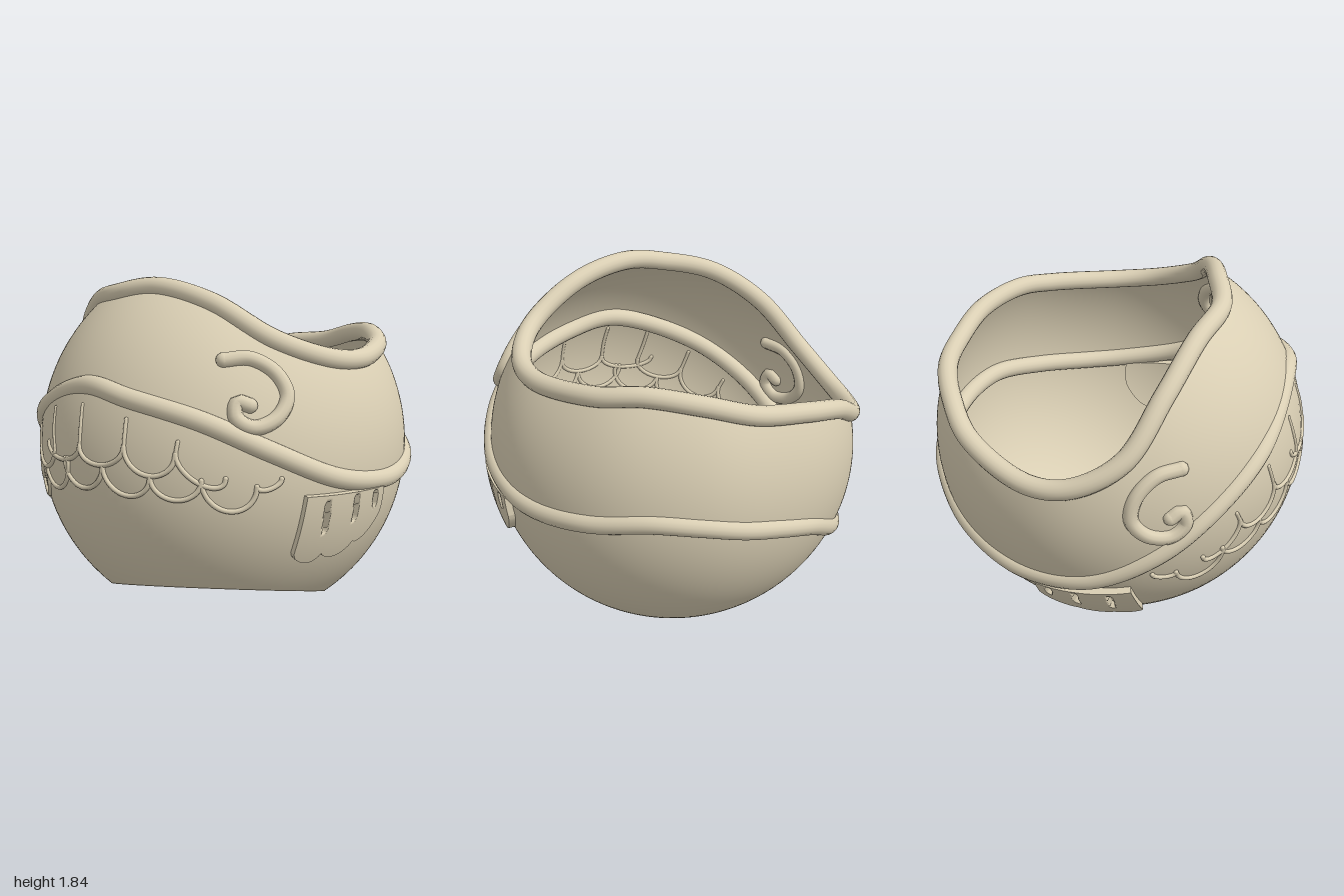
import * as THREE from 'three';

const V = (x, y, z) => new THREE.Vector3(x, y, z);
const R = 0.965;                       // shell radius
const CENTRE = V(0, 0.935, 0.01);      // centre of the round body
const BASE_NORMAL = V(0, -0.937, 0.35).normalize();
const BASE_DIST = 0.782;               // centre to tilted flat base
const MIRROR = V(0.69, 0.21, 0.69).normalize(); // normal of the symmetry plane

const clay = new THREE.MeshStandardMaterial({ color: 0xdacfb4, side: THREE.DoubleSide });
clay.name = 'clay';

const reflect = (p) => p.clone().addScaledVector(MIRROR, -2 * p.dot(MIRROR));

function mesh(name, geometry) {
  const m = new THREE.Mesh(geometry, clay);
  m.name = name;
  return m;
}

// closed curve from one half whose ends lie on the symmetry plane
function mirroredLoop(half) {
  const other = half.slice(1, -1).reverse().map(reflect);
  return new THREE.CatmullRomCurve3([...half, ...other], true, 'centripetal');
}

// point on the front of the sphere from model x, y
function onFront(x, y, r) {
  const v = y - CENTRE.y;
  return V(x, v, Math.sqrt(Math.max(0, r * r - x * x - v * v)));
}

// tube with rounded ends
function cord(name, points, radius) {
  const g = new THREE.Group();
  g.name = name;
  const curve = new THREE.CatmullRomCurve3(points);
  g.add(mesh(name + 'Line', new THREE.TubeGeometry(curve, points.length * 6, radius, 10)));
  for (const p of [points[0], points[points.length - 1]]) {
    const cap = mesh(name + 'End', new THREE.SphereGeometry(radius, 10, 8));
    cap.position.copy(p);
    g.add(cap);
  }
  return g;
}

// round wall from the tilted base up to the wavy rim
function wallGeometry(rim) {
  const cols = 200, rows = 40, pos = [], index = [];
  const k = BASE_DIST / R;
  for (let i = 0; i < cols; i++) {
    const top = rim.getPoint(i / cols);
    const az = Math.atan2(top.x, top.z);
    const a = -BASE_NORMAL.y, b = BASE_NORMAL.z * Math.cos(az);
    const low = Math.atan2(b, a) - Math.asin(k / Math.hypot(a, b));
    const high = Math.asin(top.y / top.length());
    for (let j = 0; j <= rows; j++) {
      const t = j / rows;
      const e = low + (high - low) * t;
      const r = R + (top.length() - R) * t ** 3;
      pos.push(r * Math.cos(e) * Math.sin(az), r * Math.sin(e), r * Math.cos(e) * Math.cos(az));
      if (j < rows) {
        const p = i * (rows + 1) + j, q = ((i + 1) % cols) * (rows + 1) + j;
        index.push(p, q, q + 1, p, q + 1, p + 1);
      }
    }
  }
  const g = new THREE.BufferGeometry();
  g.setAttribute('position', new THREE.Float32BufferAttribute(pos, 3));
  g.setIndex(index);
  g.computeVertexNormals();
  return g;
}

// curved plate with a scalloped lower edge and three grooves
function finGeometry() {
  const knots = [[0.46, 0.6], [0.62, 0.59], [0.82, 0.62], [1.0, 0.75]];
  const slits = [[0.61, 0.7], [0.79, 0.73], [0.93, 0.77]];
  const g = new THREE.BoxGeometry(1, 1, 1, 80, 24, 1);
  const p = g.attributes.position;
  for (let i = 0; i < p.count; i++) {
    const s = p.getX(i) + 0.5, t = p.getY(i) + 0.5, outer = p.getZ(i) > 0;
    const bottomAz = 0.46 + 0.54 * s;
    const n = bottomAz < 0.62 ? 0 : bottomAz < 0.82 ? 1 : 2;
    const [a0, y0] = knots[n], [a1, y1] = knots[n + 1];
    const f = (bottomAz - a0) / (a1 - a0);
    const bottom = y0 + (y1 - y0) * f - 0.055 * Math.sqrt(Math.max(0, Math.sin(Math.PI * f)));
    const y = bottom + (0.89 - 0.03 * s - bottom) * t;
    const az = bottomAz + 0.04 * t * (1 - s);
    const inSlit = slits.some(([a, low]) => Math.abs(az - a) < 0.013 && y > low && y < 0.85);
    const r = outer ? (inSlit ? R + 0.004 : R + 0.035) : R - 0.05;
    const v = y - CENTRE.y, h = Math.sqrt(r * r - v * v);
    p.setXYZ(i, h * Math.sin(az), v, h * Math.cos(az));
  }
  g.computeVertexNormals();
  return g;
}

// U-shaped scale outline between two cusps
function scale(x0, y0, x1, y1, drop) {
  const pts = [];
  for (let i = 0; i <= 10; i++) {
    const a = (Math.PI * i) / 10, t = (1 - Math.cos(a)) / 2;
    pts.push(onFront(x0 + (x1 - x0) * t, y0 + (y1 - y0) * t - drop * Math.sin(a), R + 0.003));
  }
  return cord('scale', pts, 0.012);
}

// one side's decorations
function sideDetails() {
  const side = new THREE.Group();
  side.name = 'sideDetails';
  side.add(mesh('fin', finGeometry()));
  const curl = [[0.08, 1.5], [0.2, 1.505], [0.32, 1.44], [0.375, 1.34], [0.33, 1.25],
    [0.23, 1.215], [0.15, 1.26], [0.155, 1.325], [0.21, 1.31]];
  side.add(cord('spiral', curl.map(([x, y]) => onFront(x, y, R + 0.003)), 0.036));
  const scales = [
    [-0.61, 1.07, -0.37, 1.107, 0.085], [-0.37, 1.107, -0.12, 1.096, 0.115],
    [-0.12, 1.096, 0.11, 0.99, 0.08], [-0.7, 0.99, -0.48, 1.005, 0.125],
    [-0.48, 1.005, -0.24, 0.984, 0.115], [-0.24, 0.984, 0, 0.98, 0.1],
    [0, 0.98, 0.25, 0.95, 0.13], [0.25, 0.95, 0.36, 0.98, 0.03]];
  for (const s of scales) side.add(scale(...s));
  for (const [x, low, high] of [[-0.61, 1.07, 1.26], [-0.37, 1.1, 1.23], [-0.12, 1.09, 1.15]]) {
    const line = [0, 0.5, 1].map((t) => onFront(x + 0.01 * t, low + (high - low) * t, R + 0.003));
    side.add(cord('scaleRidge', line, 0.01));
  }
  return side;
}

export function createModel() {
  const model = new THREE.Group();
  model.name = 'bowl';
  const body = new THREE.Group();
  body.name = 'body';
  body.position.copy(CENTRE);
  model.add(body);

  // wavy rim and the wall beneath it
  const rim = mirroredLoop([V(-0.5, 0.81, 0.27), V(-0.28, 0.855, 0.4), V(0, 0.8, 0.55),
    V(0.3, 0.645, 0.65), V(0.55, 0.55, 0.57), V(0.7, 0.52, 0.4), V(0.8, 0.54, 0.03),
    V(0.77, 0.565, -0.2), V(0.68, 0.53, -0.46), V(0.53, 0.46, -0.66)]);
  body.add(mesh('wall', wallGeometry(rim)));
  body.add(mesh('rim', new THREE.TubeGeometry(rim, 240, 0.05, 16, true)));

  // wavy band round the middle
  const band = mirroredLoop([V(-0.58, 0.41, 0.64), V(-0.35, 0.38, 0.8), V(0, 0.3, 0.9),
    V(0.3, 0.165, 0.87), V(0.6, 0.015, 0.73), V(0.8, -0.05, 0.5), V(0.9, -0.06, 0.3),
    V(0.95, -0.035, 0), V(0.9, 0.005, -0.3), V(0.8, -0.015, -0.5), V(0.66, -0.06, -0.66)]
    .map((p) => p.setLength(0.952)));
  body.add(mesh('band', new THREE.TubeGeometry(band, 240, 0.05, 16, true)));

  // tilted flat base and a slightly raised disc on the floor
  const up = V(0, 1, 0);
  const floorDisc = (name, radius, height, dist) => {
    const m = mesh(name, new THREE.CylinderGeometry(radius, radius, height, 80));
    m.quaternion.setFromUnitVectors(up, BASE_NORMAL.clone().negate());
    m.position.copy(BASE_NORMAL).multiplyScalar(dist);
    body.add(m);
  };
  floorDisc('base', Math.sqrt(R * R - BASE_DIST * BASE_DIST), 0.004, BASE_DIST);
  floorDisc('floorDisc', 0.41, 0.006, BASE_DIST - 0.004);

  // decorations on both sides, with one scale in the middle
  const near = sideDetails();
  const far = near.clone();
  far.name = 'sideDetailsMirrored';
  const { x, y, z } = MIRROR;
  far.applyMatrix4(new THREE.Matrix4().set(
    1 - 2 * x * x, -2 * x * y, -2 * x * z, 0,
    -2 * x * y, 1 - 2 * y * y, -2 * y * z, 0,
    -2 * x * z, -2 * y * z, 1 - 2 * z * z, 0,
    0, 0, 0, 1));
  body.add(near, far, scale(-0.82, 1.03, -0.61, 1.07, 0.07));
  return model;
}
